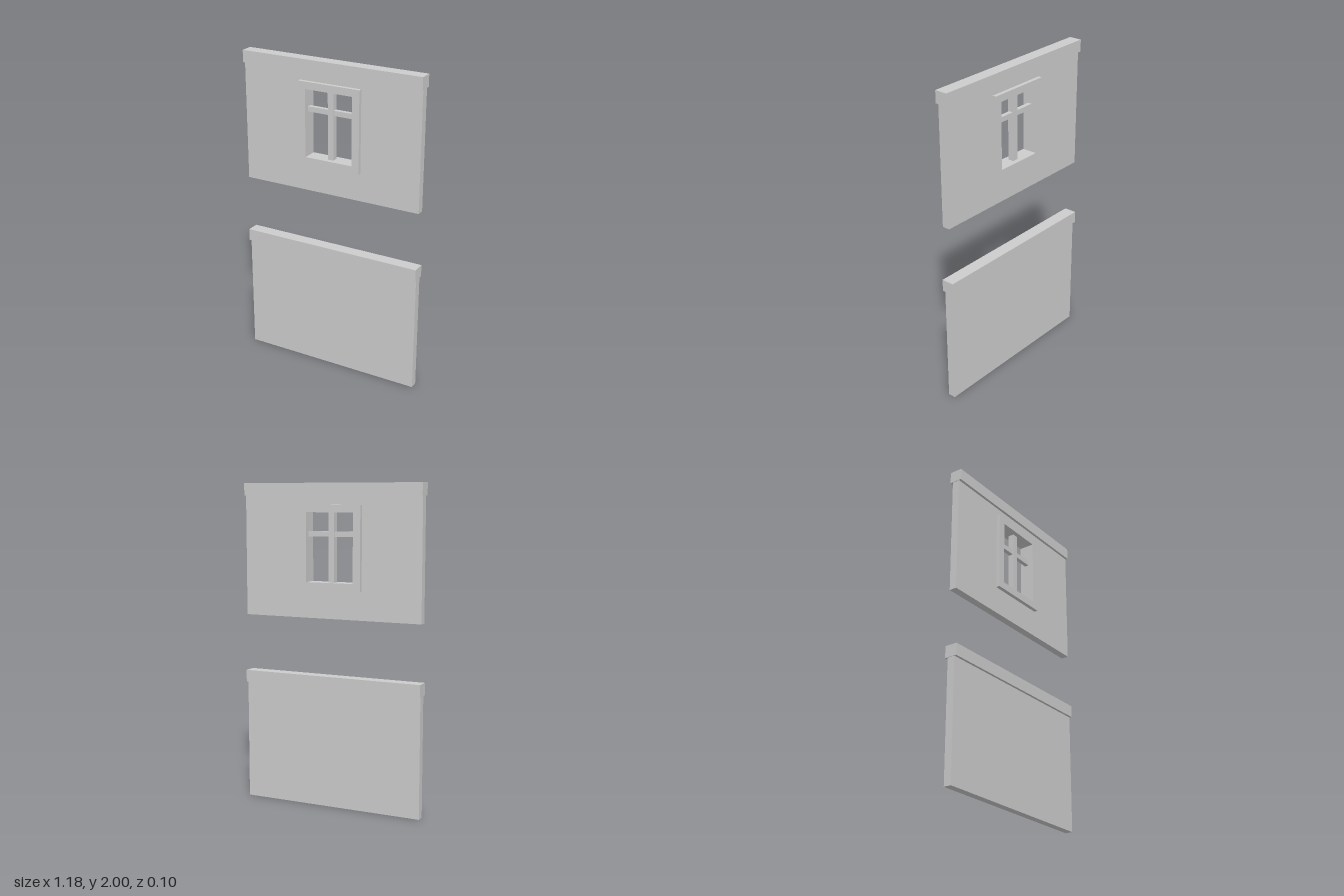
import * as THREE from 'three';

const material = new THREE.MeshStandardMaterial({ color: 0xcccccc, flatShading: true });
const WALL_W = 1.174, WALL_D = 0.048, CAP_H = 0.075;
const OPENING = [-0.156, 1.403, 0.156, 1.825];

function add(group, name, geometry) {
  const mesh = new THREE.Mesh(geometry, material);
  mesh.name = name;
  group.add(mesh);
}

// Box given by its width, bottom, top and depth, centred on x and z
function slab(width, bottom, top, depth) {
  return new THREE.BoxGeometry(width, top - bottom, depth).translate(0, (bottom + top) / 2, 0);
}

function trace(path, [x0, y0, x1, y1]) {
  path.moveTo(x0, y0);
  path.lineTo(x1, y0);
  path.lineTo(x1, y1);
  path.lineTo(x0, y1);
  path.closePath();
  return path;
}

// Upright rectangular plate with a rectangular opening
function piercedSlab(outer, hole, depth) {
  const shape = trace(new THREE.Shape(), outer);
  shape.holes.push(trace(new THREE.Path(), hole));
  return new THREE.ExtrudeGeometry(shape, { depth, bevelEnabled: false }).translate(0, 0, -depth / 2);
}

function addCap(group, top) {
  add(group, 'cap', slab(1.18, top - CAP_H, top, 0.08));
}

export function createModel() {
  const model = new THREE.Group();
  model.name = 'wallPanels';

  // Plain lower wall panel
  const plain = new THREE.Group();
  plain.name = 'plainWall';
  add(plain, 'wall', slab(WALL_W, 0, 0.826 - CAP_H, WALL_D));
  addCap(plain, 0.826);

  // Upper wall panel with a window
  const windowed = new THREE.Group();
  windowed.name = 'windowWall';
  add(windowed, 'wall', piercedSlab([-WALL_W / 2, 1.182, WALL_W / 2, 2 - CAP_H], OPENING, WALL_D));
  addCap(windowed, 2);

  // Window frame, proud of the wall on both sides, with its crossing bars
  add(windowed, 'windowFrame', piercedSlab([-0.204, 1.356, 0.204, 1.87], OPENING, 0.096));
  add(windowed, 'verticalBar', slab(0.037, OPENING[1], OPENING[3], 0.039));
  add(windowed, 'horizontalBar', slab(0.312, 1.679, 1.711, 0.027));

  model.add(plain, windowed);
  return model;
}
